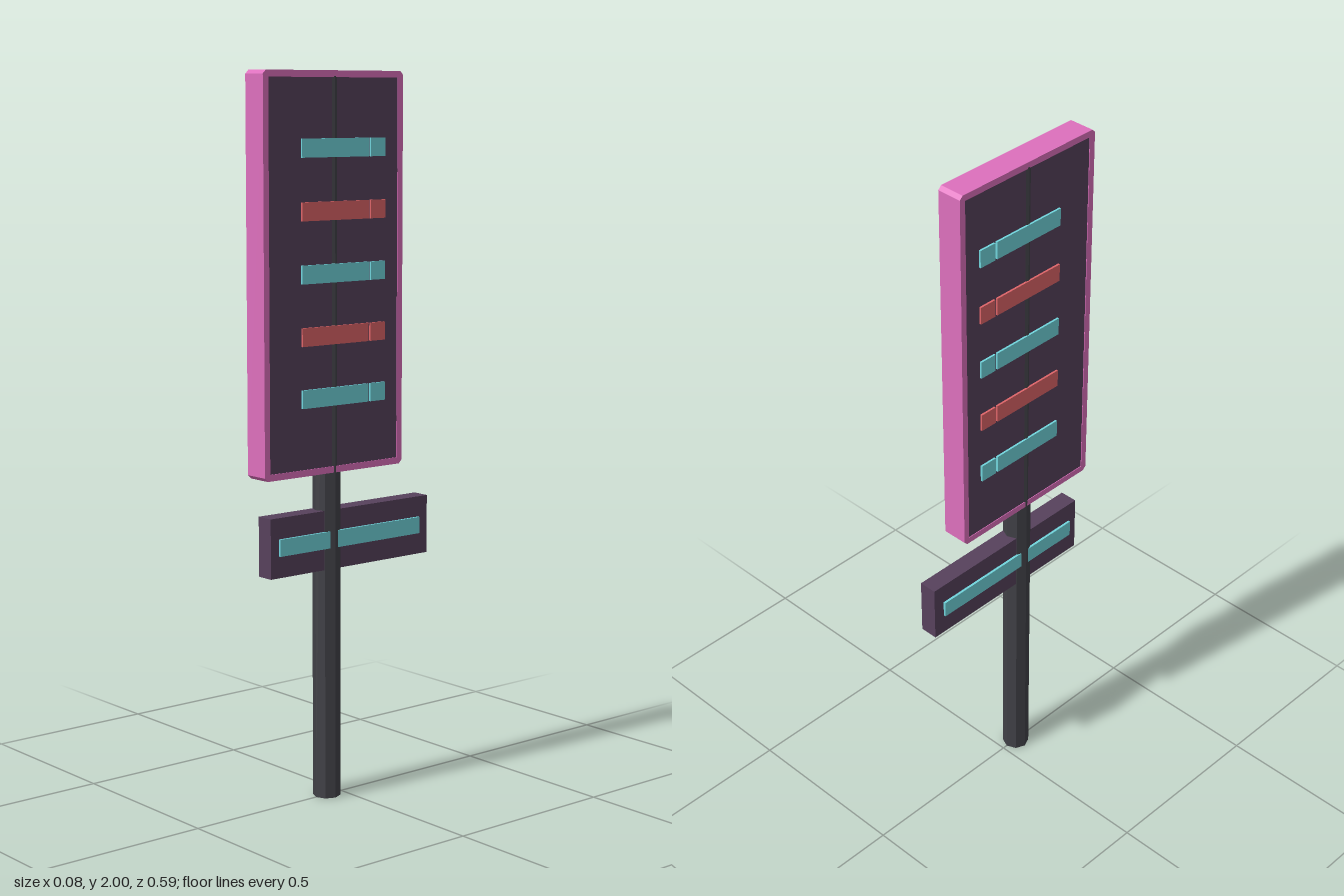
import * as THREE from 'three';

const material = (color) => new THREE.MeshStandardMaterial({ color, flatShading: true });
const PINK = material(0xdd70bd);
const PURPLE = material(0x57415c);
const CYAN = material(0x70d4dc);
const RED = material(0xdd6468);
const DARK = material(0x404046);

const POLE_Z = 0.053;

// Box given by its half thickness in x and its ranges in y and z
function slab(name, mat, halfX, y0, y1, z0, z1) {
  const mesh = new THREE.Mesh(new THREE.BoxGeometry(halfX * 2, y1 - y0, z1 - z0), mat);
  mesh.position.set(0, (y0 + y1) / 2, (z0 + z1) / 2);
  mesh.name = name;
  return mesh;
}

// Rectangular frame with chamfered outer corners, extruded across x
function frame(halfX, width, height, border, chamfer) {
  const w = width / 2, h = height / 2, c = chamfer;
  const points = [
    [-w + c, -h], [w - c, -h], [w, -h + c], [w, h - c],
    [w - c, h], [-w + c, h], [-w, h - c], [-w, -h + c],
  ];
  const shape = new THREE.Shape(points.map(([x, y]) => new THREE.Vector2(x, y)));
  const iw = w - border, ih = h - border;
  const hole = [[-iw, -ih], [-iw, ih], [iw, ih], [iw, -ih]];
  shape.holes.push(new THREE.Path(hole.map(([x, y]) => new THREE.Vector2(x, y))));
  const geometry = new THREE.ExtrudeGeometry(shape, { depth: halfX * 2, bevelEnabled: false });
  geometry.translate(0, 0, -halfX).rotateY(Math.PI / 2);
  return new THREE.Mesh(geometry, PINK);
}

export function createModel() {
  const model = new THREE.Group();
  model.name = 'signPost';

  // Octagonal pole running up through both signs
  const pole = new THREE.Mesh(new THREE.CylinderGeometry(0.0385, 0.0385, 1.985, 8), DARK);
  pole.position.set(0, 1.985 / 2, POLE_Z);
  pole.name = 'pole';
  model.add(pole);

  // Tall sign: frame around a slightly recessed panel
  const border = frame(0.037, 0.484, 1.08, 0.018, 0.01);
  border.position.set(0, 1.46, POLE_Z);
  border.name = 'signFrame';
  model.add(border);
  model.add(slab('signPanel', PURPLE, 0.035, 0.93, 1.99, -0.18, 0.285));

  // Rows of light bars, each a long and a short piece showing on both faces
  for (let i = 0; i < 5; i++) {
    const y = 1.13 + i * 0.1668;
    const mat = i % 2 ? RED : CYAN;
    const row = new THREE.Group();
    row.name = 'lightRow' + (i + 1);
    row.add(slab('longBar', mat, 0.041, y - 0.025, y + 0.025, -0.064, 0.168));
    row.add(slab('shortBar', mat, 0.041, y - 0.025, y + 0.025, -0.123, -0.071));
    model.add(row);
  }

  // Small cross sign with its light strip
  model.add(slab('crossSign', PURPLE, 0.026, 0.65, 0.815, -0.296, 0.268));
  model.add(slab('crossSignStrip', CYAN, 0.033, 0.71, 0.757, -0.262, 0.24));

  return model;
}
